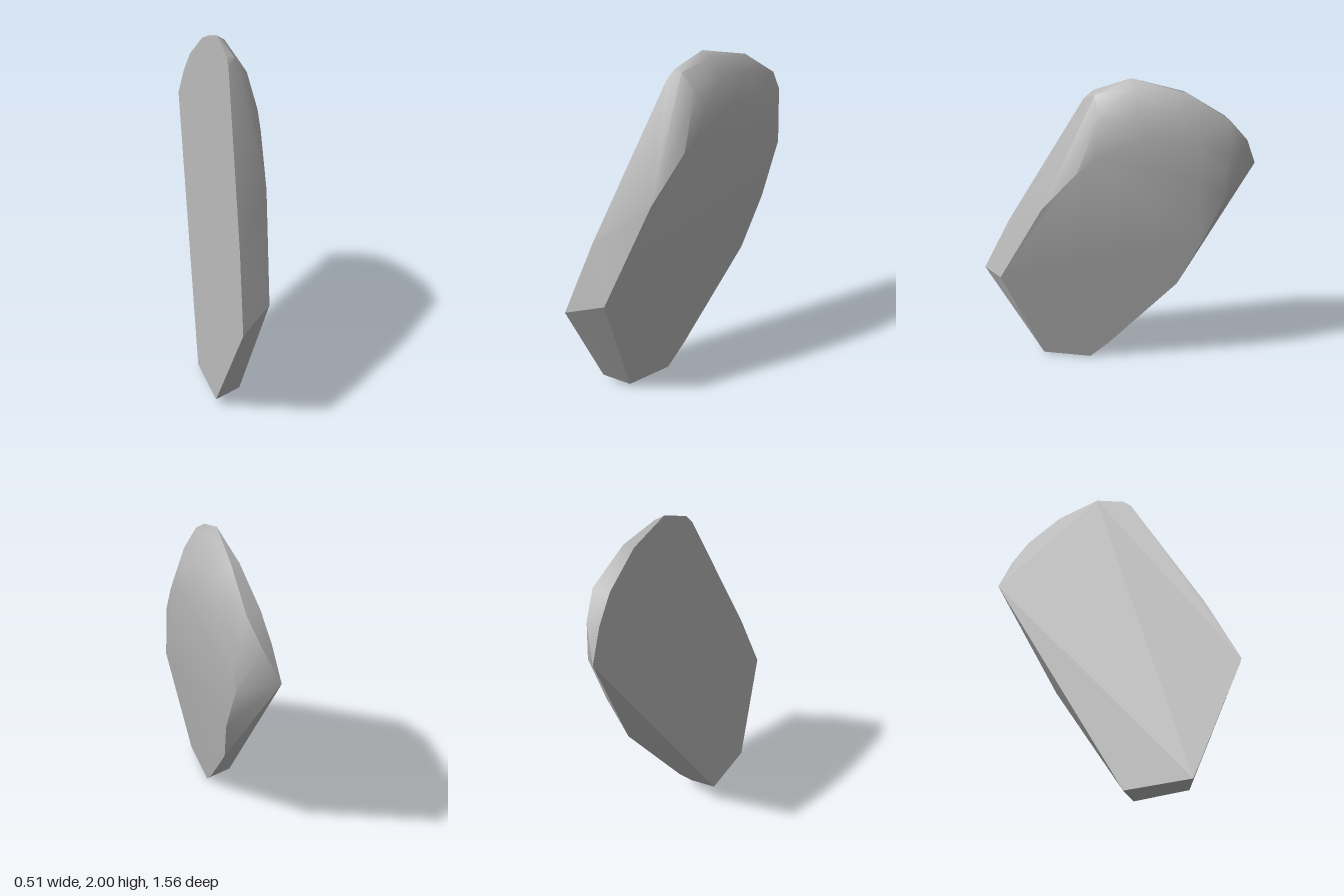
import * as THREE from 'three';
import { ConvexGeometry } from 'three/addons/geometries/ConvexGeometry.js';
import { toCreasedNormals } from 'three/addons/utils/BufferGeometryUtils.js';

// The slab leans: both broad faces are nearly parallel tilted planes.
const flatX = (y, z) => -0.24 + 0.103 * (y - 0.66) - 0.163 * (z - 0.78);
const domeX = (y, z) => -0.03 + 0.13 * (y - 0.73) - 0.178 * (z - 0.68);

export function createModel() {
  const group = new THREE.Group();
  const stone = new THREE.MeshStandardMaterial({ color: 0xb4b4b4 });
  stone.name = 'stone grey';

  // outline of the flat face, as [z, y]
  const flatOutline = [
    [0.78, 0.66], [0.5, 0.045], [0.13, 0.02], [-0.78, 1.49], [-0.69, 1.66], [-0.58, 1.79],
    [-0.36, 1.93], [-0.09, 2.0], [0.1, 1.93], [0.15, 1.88], [0.6, 1.05],
  ];
  // outline of the straight lower part of the opposite face, as [z, y]
  const broadOutline = [
    [0.68, 0.73], [0.45, 0.03], [0.145, 0], [0.03, 0.14], [-0.37, 0.72], [-0.48, 1.05],
    [0.41, 1.27], [0.21, 1.53], [0.12, 1.62],
  ];
  // rounded shoulder and rim around the top, as [x, y, z]
  const shoulder = [
    [0.24, 1.38, -0.6], [0.25, 1.5, -0.43], [0.245, 1.52, -0.57], [0.235, 1.7, -0.42],
    [0.21, 1.73, -0.15], [0.18, 1.73, 0.05],
    [0.225, 1.62, -0.6], [0.21, 1.78, -0.5], [0.19, 1.86, -0.3], [0.165, 1.86, -0.1], [0.13, 1.83, 0.09],
    [0.165, 1.67, -0.7], [0.185, 1.8, -0.59], [0.13, 1.94, -0.37], [0.09, 1.97, -0.1], [0.05, 1.92, 0.1],
  ];

  const points = [
    ...flatOutline.map(([z, y]) => new THREE.Vector3(flatX(y, z), y, z)),
    ...broadOutline.map(([z, y]) => new THREE.Vector3(domeX(y, z), y, z)),
    ...shoulder.map((p) => new THREE.Vector3(...p)),
  ];

  // smooth over the shoulder, sharp at the cut edges
  const geometry = toCreasedNormals(new ConvexGeometry(points), 0.62);
  const slab = new THREE.Mesh(geometry, stone);
  slab.name = 'stoneSlab';
  group.add(slab);
  return group;
}
